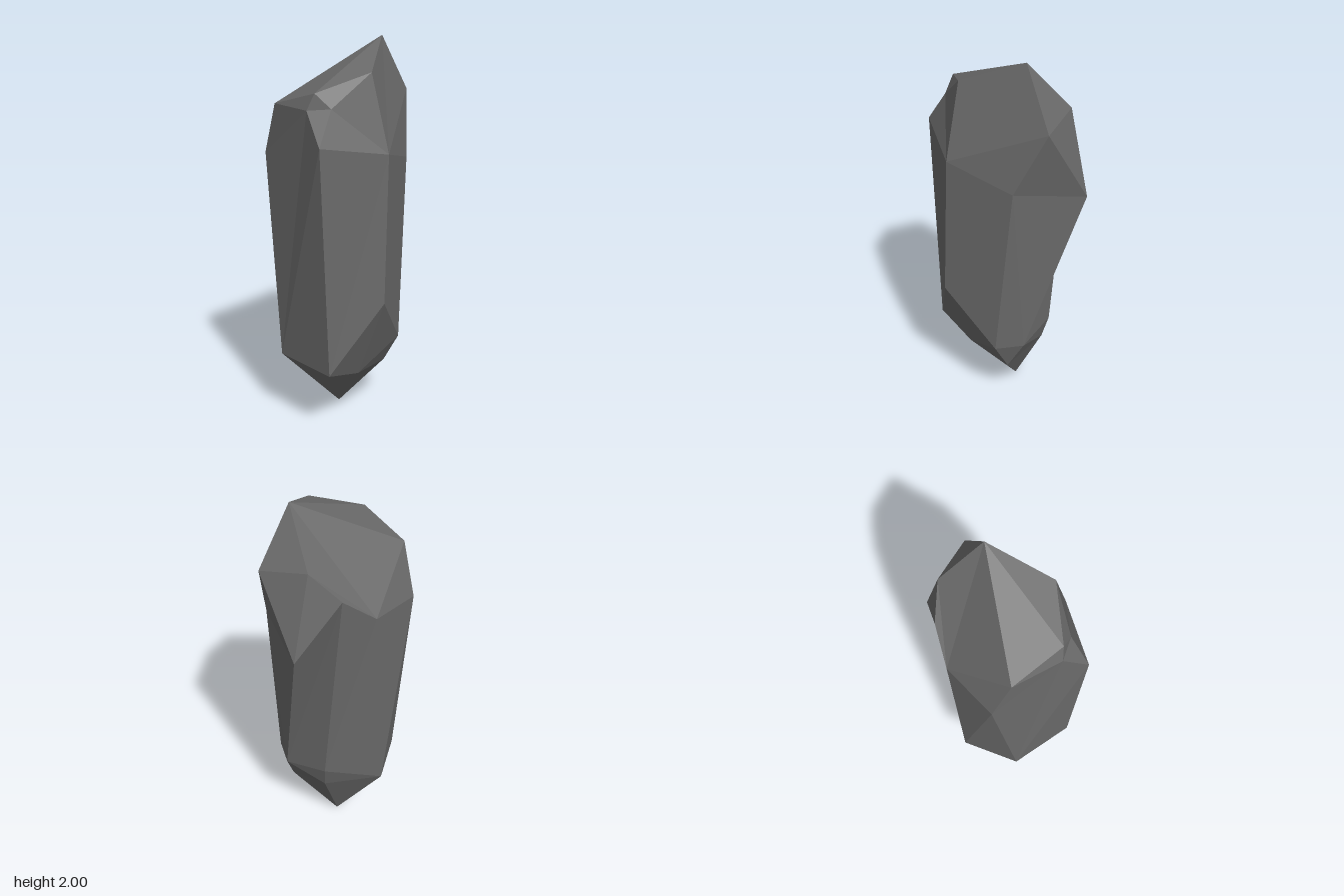
import * as THREE from 'three';

// Corners shared by several rings
const tip = [-0.018, 0, -0.063], peak = [0.213, 2, -0.055];
const footLeft = [0.21, 0.255, 0.03], footFront = [-0.005, 0.285, 0.196];
const footBack = [0.09, 0.335, -0.185], footBackRight = [-0.203, 0.385, -0.268];
const footRight = [-0.36, 0.37, 0];
const shoulderFront = [0.104, 1.48, 0.31], shoulderBack = [-0.135, 1.46, -0.303];
const shoulderRight = [-0.276, 1.70, 0.21];
const crownRight = [-0.238, 1.78, 0.217], crownFront = [0.043, 1.865, 0.232];
const crownBack = [0.19, 1.75, -0.277];

// Eight-column rings from bottom to top, running counter-clockwise from the
// front right edge; repeated corners make the facets taper into triangles.
const rings = [
  Array(8).fill(tip),
  [footRight, footFront, footLeft, footBack, footBack, footBackRight, footRight, footRight],
  [[-0.21, 0.36, 0.323], [0.079, 0.722, 0.338], [0.26, 0.42, 0.106], [0.263, 0.42, -0.045],
    [0.10, 0.46, -0.22], footBackRight, footRight, footRight],
  [[-0.26, 1.545, 0.344], shoulderFront, [0.322, 1.385, 0.029], [0.283, 1.315, -0.346],
    [0.042, 1.60, -0.323], shoulderBack, [-0.384, 1.435, -0.132], shoulderRight],
  [[-0.173, 1.71, 0.267], shoulderFront, [0.382, 1.712, -0.124], crownBack,
    crownBack, shoulderBack, [-0.358, 1.697, -0.036], shoulderRight],
  [crownRight, crownFront, peak, peak, peak, peak, peak, crownRight],
  Array(8).fill(peak),
];

// Quads (ring, column) whose crease runs along the other diagonal
const flipped = new Set(['1,0', '2,2', '3,2']);

function crystalGeometry() {
  const positions = [];
  const same = (p, q) => p.every((v, i) => v === q[i]);
  const triangle = (a, b, c) => {
    if (!same(a, b) && !same(b, c) && !same(a, c)) positions.push(...a, ...b, ...c);
  };
  for (let r = 0; r < rings.length - 1; r++) {
    for (let i = 0; i < 8; i++) {
      const j = (i + 1) % 8;
      const a = rings[r][i], b = rings[r][j], c = rings[r + 1][j], d = rings[r + 1][i];
      if (flipped.has(`${r},${i}`)) {
        triangle(a, b, d);
        triangle(b, c, d);
      } else {
        triangle(a, b, c);
        triangle(a, c, d);
      }
    }
  }
  const geometry = new THREE.BufferGeometry();
  geometry.setAttribute('position', new THREE.Float32BufferAttribute(positions, 3));
  geometry.computeVertexNormals();
  return geometry;
}

export function createModel() {
  const group = new THREE.Group();
  group.name = 'crystalShard';
  const material = new THREE.MeshStandardMaterial({ color: 0x6a6a6a, flatShading: true });
  const crystal = new THREE.Mesh(crystalGeometry(), material);
  crystal.name = 'crystal';
  group.add(crystal);
  return group;
}
